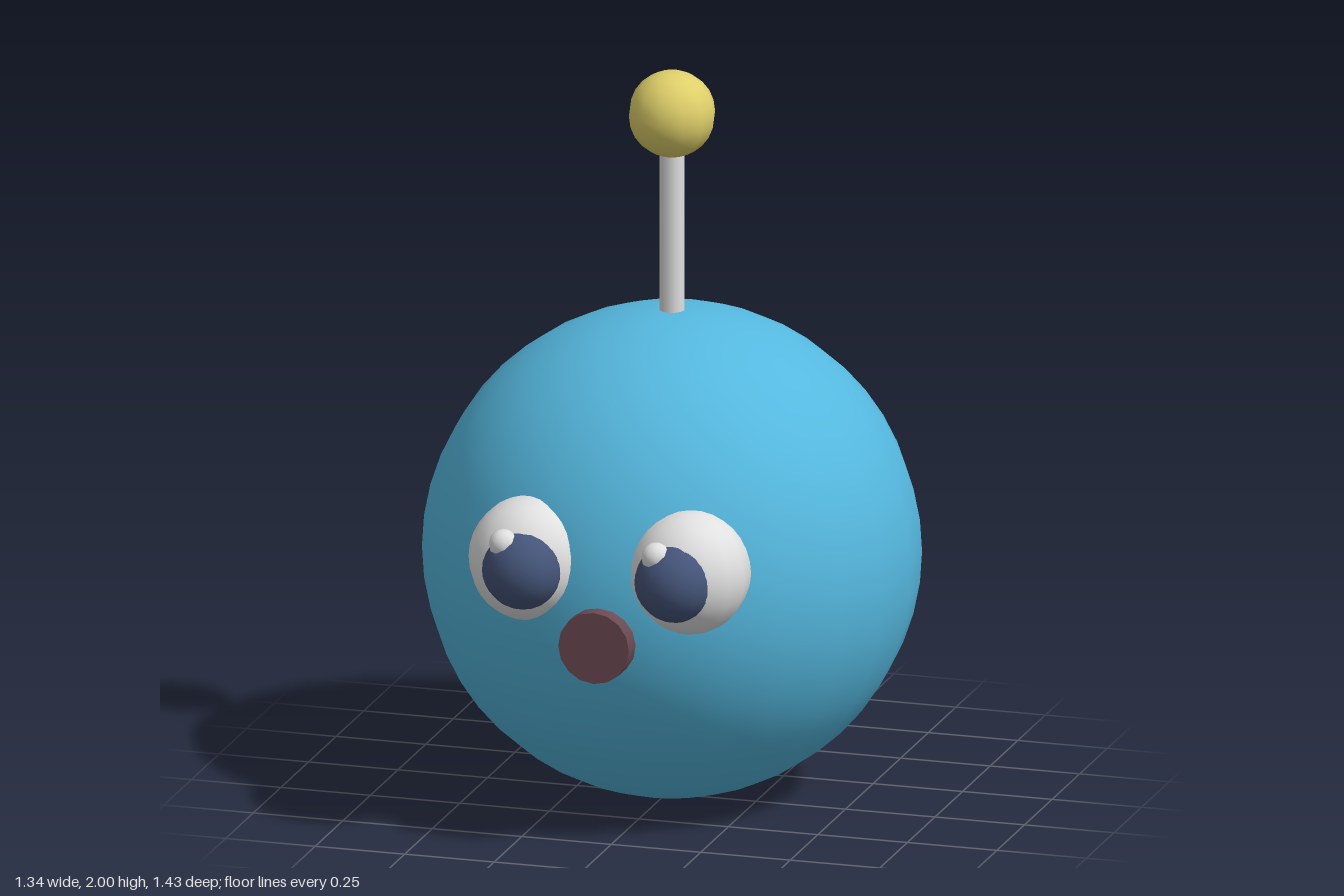
import * as THREE from 'three';

const material = (name, color) => {
  const m = new THREE.MeshStandardMaterial({ color });
  m.name = name;
  return m;
};

export function createModel() {
  const blue = material('sky blue', 0x55b8df);
  const white = material('soft white', 0xe0e0e0);
  const navy = material('navy', 0x45557a);
  const brown = material('nose brown', 0x6b4a52);
  const yellow = material('yellow', 0xdfd06a);

  const model = new THREE.Group();
  model.name = 'roundCreature';

  const add = (parent, name, geometry, mat, x, y, z) => {
    const mesh = new THREE.Mesh(geometry, mat);
    mesh.name = name;
    mesh.position.set(x, y, z);
    parent.add(mesh);
    return mesh;
  };

  // Round body
  const axisZ = -0.05;
  add(model, 'body', new THREE.SphereGeometry(0.668, 24, 24), blue, 0, 0.671, axisZ);

  // Antenna: stalk sunk into the body, with a ball on top
  add(model, 'antennaStalk', new THREE.CylinderGeometry(0.034, 0.034, 0.6, 12), white, 0, 1.55, axisZ);
  add(model, 'antennaBall', new THREE.SphereGeometry(0.118, 12, 12), yellow, 0, 1.882, axisZ);

  // Eyes: white, pupil, and a glint on the same side of both
  for (const side of [1, -1]) {
    const eye = new THREE.Group();
    eye.name = side > 0 ? 'leftEye' : 'rightEye';
    const ball = new THREE.SphereGeometry(0.169, 16, 16).rotateY(Math.PI / 16).scale(0.97, 1, 0.97);
    add(eye, 'eyeWhite', ball, white, side * 0.224, 0.786, 0.513);
    add(eye, 'pupil', new THREE.SphereGeometry(0.111, 16, 16), navy, side * 0.213, 0.784, 0.606);
    add(eye, 'glint', new THREE.SphereGeometry(0.04, 10, 8), white, side * 0.213 - 0.042, 0.86, 0.65);
    model.add(eye);
  }

  // Button nose, flat at the front
  const nose = new THREE.CylinderGeometry(0.099, 0.099, 0.14, 16).rotateX(Math.PI / 2);
  add(model, 'nose', nose, brown, 0, 0.594, 0.59);

  return model;
}
